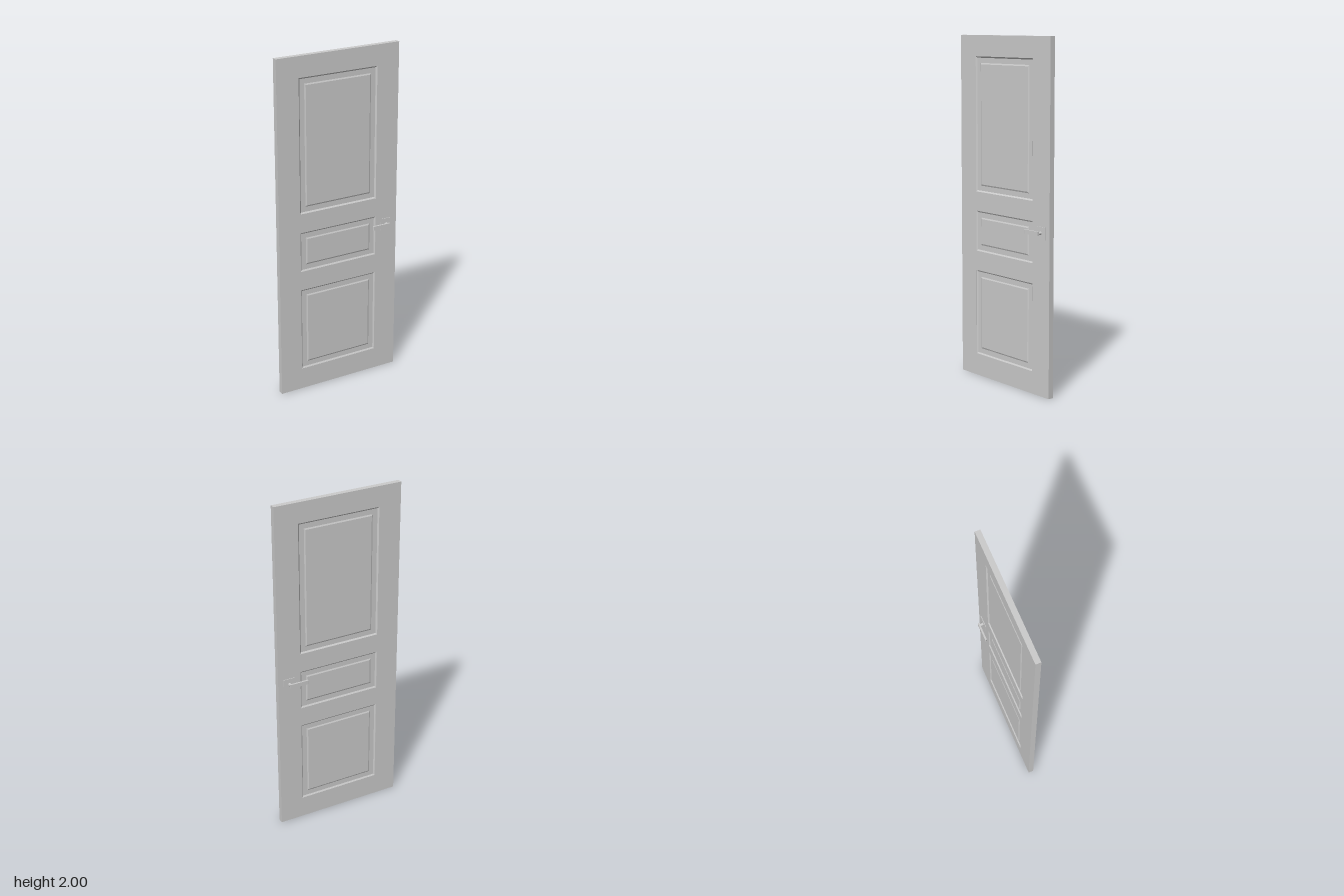
import * as THREE from 'three';

const HALF_W = 0.385, HALF_T = 0.0157;
const material = new THREE.MeshStandardMaterial({ color: 0xcccccc, flatShading: true });

// x0, x1, y0, y1 of each recess, and a small square step at its rim
const panels = [
  { name: 'upperPanel', x0: -0.25, x1: 0.245, y0: 1.10, y1: 1.88, step: 0 },
  { name: 'middlePanel', x0: -0.25, x1: 0.245, y0: 0.75, y1: 0.987, step: 0.002 },
  { name: 'lowerPanel', x0: -0.25, x1: 0.245, y0: 0.13, y1: 0.635, step: 0.002 },
];

function rectPath(Type, x0, x1, y0, y1) {
  const p = new Type();
  p.moveTo(x0, y0);
  p.lineTo(x1, y0);
  p.lineTo(x1, y1);
  p.lineTo(x0, y1);
  p.closePath();
  return p;
}

function mesh(name, geometry, x = 0, y = 0, z = 0) {
  const m = new THREE.Mesh(geometry, material);
  m.name = name;
  m.position.set(x, y, z);
  return m;
}

// Nested rectangles: sloped rim, sunken border, sloped rise, raised field
function panelGeometry(w, h, step) {
  const profile = [
    [0, HALF_T - step], [0.008, 0.009], [0.037, 0.009], [0.045, 0.0125],
  ];
  const positions = [], index = [];
  for (const [inset, z] of profile) {
    const a = w / 2 - inset, b = h / 2 - inset;
    positions.push(-a, -b, z, a, -b, z, a, b, z, -a, b, z);
  }
  for (let r = 0; r < profile.length - 1; r++) {
    for (let i = 0; i < 4; i++) {
      const a = r * 4 + i, b = r * 4 + (i + 1) % 4;
      index.push(a, b, b + 4, a, b + 4, a + 4);
    }
  }
  const c = (profile.length - 1) * 4;
  index.push(c, c + 1, c + 2, c, c + 2, c + 3);
  const g = new THREE.BufferGeometry();
  g.setAttribute('position', new THREE.Float32BufferAttribute(positions, 3));
  g.setIndex(index);
  const flat = g.toNonIndexed();
  flat.computeVertexNormals();
  return flat;
}

// Handle for the front side; side = -1 places it on the back
function createHandle(side) {
  const group = new THREE.Group();
  group.name = side > 0 ? 'frontHandle' : 'backHandle';
  const y = 0.929;
  group.add(mesh('handlePlate', new THREE.BoxGeometry(0.07, 0.07, 0.005), 0.316, y, side * 0.0168));

  const spindle = new THREE.CylinderGeometry(0.009, 0.009, 0.03, 16).rotateX(Math.PI / 2);
  group.add(mesh('handleSpindle', spindle, 0.316, y, side * 0.031));

  // Flat lever with softened free end
  const shape = new THREE.Shape();
  shape.moveTo(0.325, 0.039);
  shape.lineTo(0.325, 0.049);
  shape.lineTo(0.215, 0.049);
  shape.quadraticCurveTo(0.211, 0.049, 0.211, 0.044);
  shape.quadraticCurveTo(0.211, 0.039, 0.215, 0.039);
  shape.closePath();
  const lever = new THREE.ExtrudeGeometry(shape, { depth: 0.024, bevelEnabled: false, curveSegments: 4 });
  lever.translate(0, 0, -0.012).rotateX(Math.PI / 2);
  if (side < 0) lever.translate(0, 0, -0.088);
  group.add(mesh('handleLever', lever, 0, y, 0));
  return group;
}

export function createModel() {
  const door = new THREE.Group();
  door.name = 'door';

  // Slab with an opening for each panel
  const outline = rectPath(THREE.Shape, -HALF_W, HALF_W, 0, 2);
  for (const p of panels) outline.holes.push(rectPath(THREE.Path, p.x0, p.x1, p.y0, p.y1));
  const slab = new THREE.ExtrudeGeometry(outline, { depth: HALF_T * 2, bevelEnabled: false });
  door.add(mesh('doorFrame', slab.translate(0, 0, -HALF_T)));

  // Moulded panels on both faces
  for (const p of panels) {
    const geometry = panelGeometry(p.x1 - p.x0, p.y1 - p.y0, p.step);
    for (const side of [1, -1]) {
      const m = mesh(p.name + (side > 0 ? 'Front' : 'Back'), geometry, (p.x0 + p.x1) / 2, (p.y0 + p.y1) / 2);
      if (side < 0) m.rotation.y = Math.PI;
      door.add(m);
    }
  }

  door.add(createHandle(1), createHandle(-1));
  return door;
}
